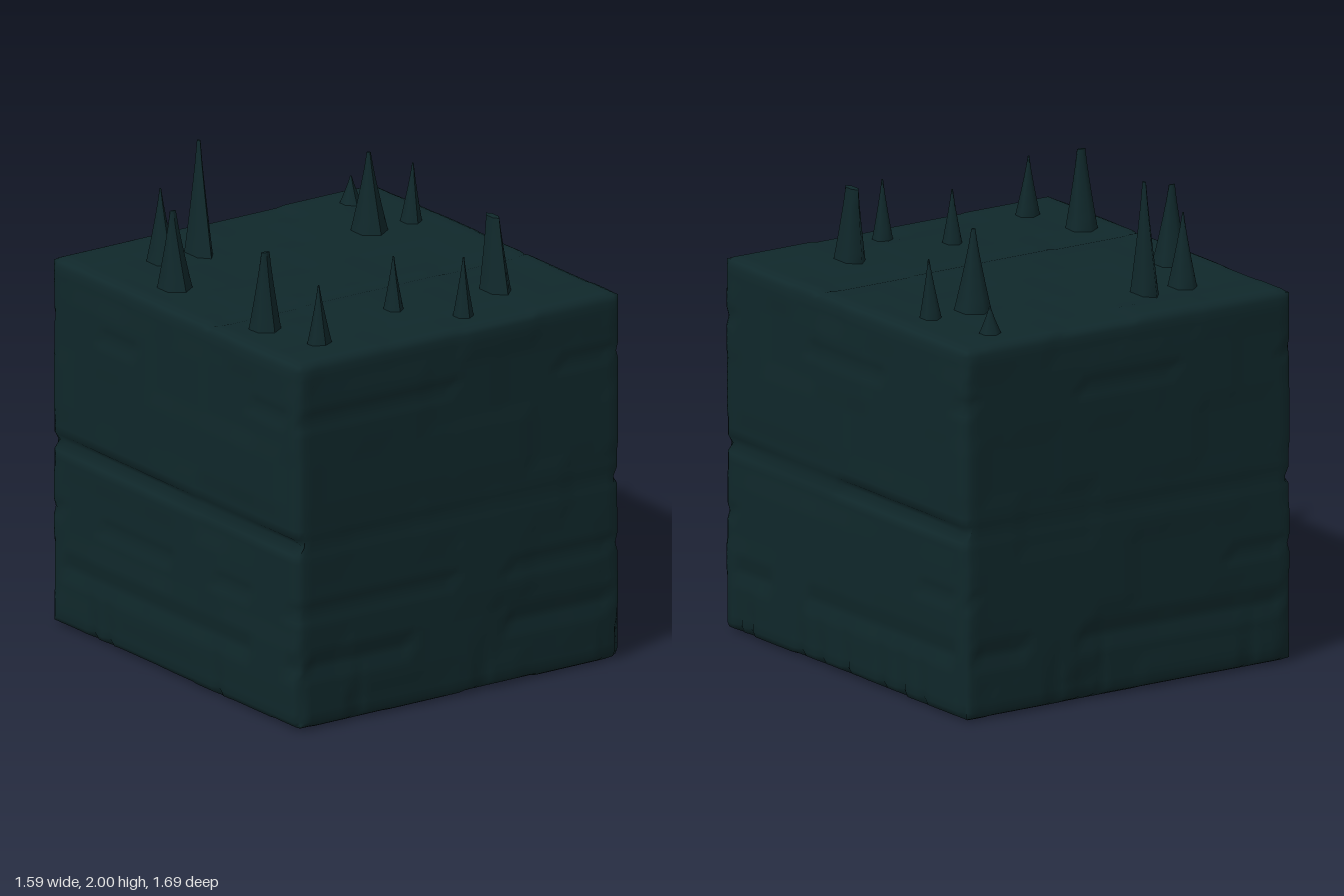
import * as THREE from 'three';
import { mergeVertices } from 'three/addons/utils/BufferGeometryUtils.js';

const W = 1.59, H = 1.54, D = 1.69;
const stone = new THREE.MeshStandardMaterial({ color: 0x10282b });
stone.name = 'dark teal stone';

// Repeatable value in 0..1 for a grid cell
function hash(a, b, c) {
  const s = Math.sin(a * 12.99 + b * 78.23 + c * 37.72) * 43758.55;
  return s - Math.floor(s);
}

// Cube with worn edges, shallow slabs, and a split around the middle
function makeBlock() {
  let geo = new THREE.BoxGeometry(W, H, D, 44, 44, 48);
  geo.deleteAttribute('normal');
  geo.deleteAttribute('uv');
  geo = mergeVertices(geo, 1e-4);
  const pos = geo.attributes.position;
  const half = [W / 2, H / 2, D / 2];
  const r = 0.022;
  for (let i = 0; i < pos.count; i++) {
    const p = [pos.getX(i), pos.getY(i), pos.getZ(i)];
    const faces = [0, 1, 2].filter((k) => Math.abs(p[k]) > half[k] - 1e-4);
    const [x, y, z] = p;
    const yy = y + H / 2;
    for (const k of faces) {
      const s = Math.sign(p[k]);
      let inset = faces.length > 1 ? r * 0.45 : 0;
      // Uneven slabs
      const u = k === 0 ? z : x;
      const v = k === 1 ? z : y;
      const row = Math.floor((v + 3) / 0.26);
      inset += 0.007 * hash(Math.floor((u + row * 0.17 + 3) / 0.36), row, k * 2 + s);
      if (k !== 1) {
        // Middle split is deep on the two sides, faint on front and back
        const depth = k === 0 ? (z < 0.05 || s < 0 ? 0.04 : 0.024) : 0.007;
        const gap = Math.abs(yy - 0.765 + 0.008 * Math.sin(u * 5));
        if (gap < 0.022) inset += depth * (1 - gap / 0.032);
        // Chips at the upper and lower courses
        for (const c of [0.26, 0.5, 1.29]) {
          if (Math.abs(yy - c) < 0.02 && hash(Math.floor(u * 4), c, s + k) > 0.55) inset += 0.01;
        }
        // Short fissures rising from the base
        if (yy < 0.25 && hash(Math.round(u * 28), k, s) > 0.87) inset += 0.018 * (1 - yy / 0.25);
      } else if (s > 0 && Math.abs(z - 0.2) < 0.02) {
        inset += 0.008;
      }
      p[k] -= s * inset;
    }
    pos.setXYZ(i, p[0], Math.max(0, p[1] + H / 2), p[2]);
  }
  geo.computeVertexNormals();
  const mesh = new THREE.Mesh(geo, stone);
  mesh.name = 'stoneBlock';
  return mesh;
}

// Leaning spike: elliptical base, tip position, tip half-widths
function makeSpike([x0, x1, z0, z1, tx, ty, tz, hx = 0.003, hz = 0.003]) {
  const sides = 6, rings = 5, base = 1.525;
  const geo = new THREE.CylinderGeometry(1, 1, 1, sides, rings);
  const pos = geo.attributes.position;
  for (let i = 0; i < pos.count; i++) {
    const t = pos.getY(i) + 0.5;
    // Sides flare slightly where the spike meets the block
    const k = Math.pow(1 - t, 1.15);
    const cx = THREE.MathUtils.lerp((x0 + x1) / 2, tx, t);
    const cz = THREE.MathUtils.lerp((z0 + z1) / 2, tz, t);
    pos.setXYZ(i,
      cx + pos.getX(i) * (hx + k * ((x1 - x0) / 2 - hx)),
      base + t * (ty - base),
      cz + pos.getZ(i) * (hz + k * ((z1 - z0) / 2 - hz)));
  }
  geo.computeVertexNormals();
  const mesh = new THREE.Mesh(geo, stone);
  mesh.name = 'spike';
  return mesh;
}

export function createModel() {
  const group = new THREE.Group();
  group.name = 'spikedStoneBlock';
  group.add(makeBlock());

  // Spikes on the top: x range, z range, tip x y z, tip half-widths
  const spikes = [
    [-0.33, -0.24, -0.63, -0.45, -0.27, 2.0, -0.56, 0.006, 0.01],
    [-0.52, -0.41, -0.62, -0.47, -0.465, 1.84, -0.55],
    [-0.68, -0.54, -0.33, -0.17, -0.62, 1.86, -0.25, 0.015, 0.004],
    [-0.68, -0.55, 0.30, 0.44, -0.62, 1.86, 0.38, 0.02, 0.008],
    [-0.60, -0.49, 0.60, 0.69, -0.55, 1.78, 0.645],
    [0.08, 0.165, 0.65, 0.74, 0.12, 1.78, 0.70],
    [-0.105, -0.025, 0.43, 0.53, -0.065, 1.76, 0.48],
    [0.35, 0.46, 0.43, 0.61, 0.41, 1.84, 0.495, 0.018, 0.045],
    [0.35, 0.50, -0.45, -0.28, 0.415, 1.87, -0.355, 0.008, 0.008],
    [0.58, 0.67, -0.41, -0.31, 0.635, 1.78, -0.36],
    [0.51, 0.61, -0.73, -0.63, 0.565, 1.65, -0.685],
  ];
  const crown = new THREE.Group();
  crown.name = 'topSpikes';
  for (const s of spikes) crown.add(makeSpike(s));
  group.add(crown);
  return group;
}
